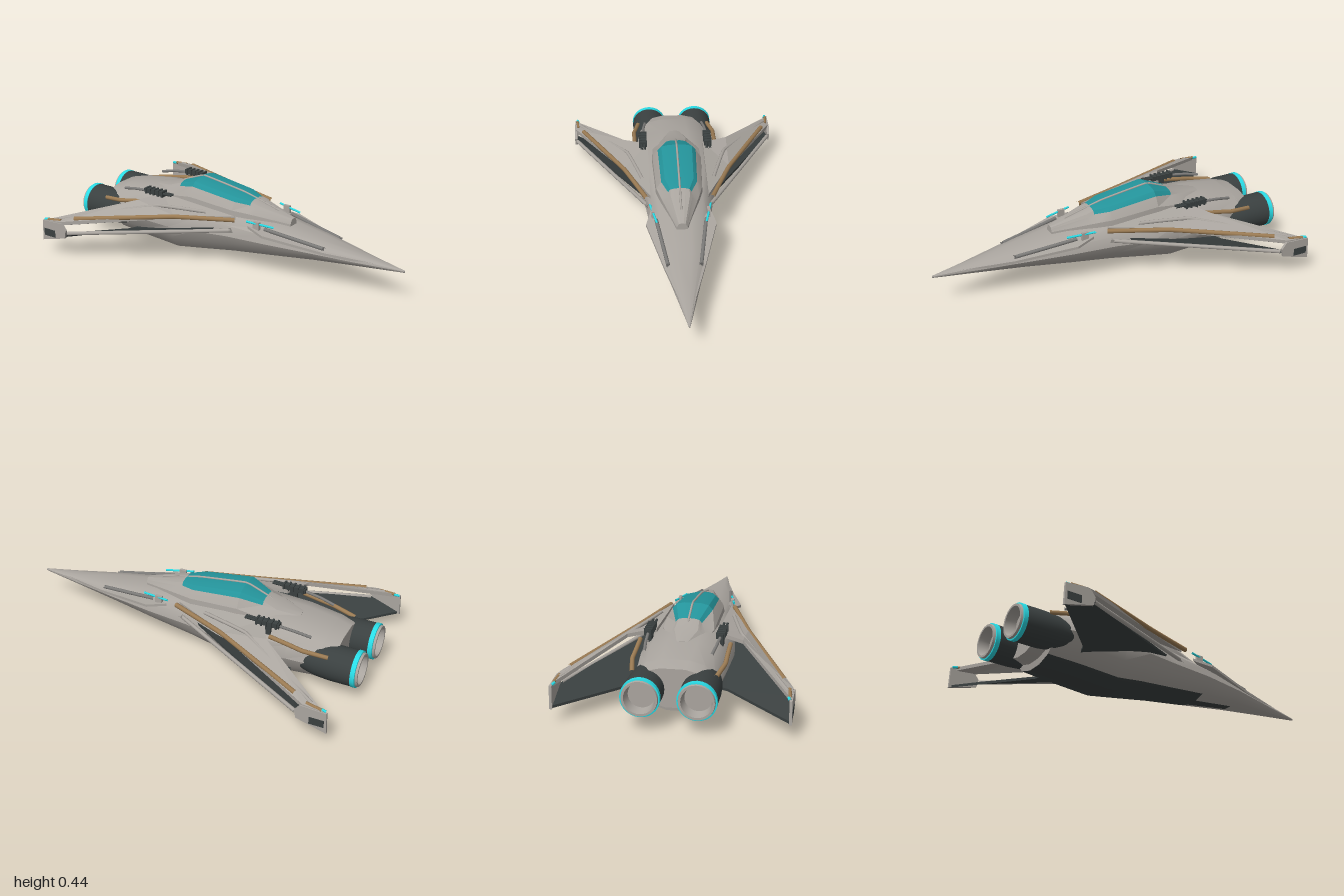
import * as THREE from 'three';
import { toCreasedNormals } from 'three/addons/utils/BufferGeometryUtils.js';

const mat = (name, color) => {
  const m = new THREE.MeshStandardMaterial({ color });
  m.name = name;
  return m;
};
const V = (p) => new THREE.Vector3(...p);

// Skin a list of rings [[x, y, z], ...]; pick(i, j) chooses the material slot of each quad
function loft(rings, pick, crease) {
  const n = rings[0].length, slots = [[], []];
  rings.slice(0, -1).forEach((_, i) => {
    for (let j = 0; j < n; j++) {
      const k = (j + 1) % n, a = i * n + j, b = i * n + k;
      slots[pick(i, j)].push(a, b, a + n, b, b + n, a + n);
    }
  });
  const last = (rings.length - 1) * n;
  for (let j = 1; j < n - 1; j++) slots[0].push(0, j + 1, j, last, last + j, last + j + 1);
  const g = new THREE.BufferGeometry();
  g.setAttribute('position', new THREE.Float32BufferAttribute(rings.flat(2), 3));
  g.setIndex(slots.flat());
  g.addGroup(0, slots[0].length, 0);
  g.addGroup(slots[0].length, slots[1].length, 1);
  return toCreasedNormals(g, crease);
}

// Symmetric ring from half-profile points [z, y] at station x
const ring = (x, half) => [
  ...half.map(([z, y]) => [x, y, z]),
  ...half.slice().reverse().map(([z, y]) => [x, y, -z]),
];

// Plate with outline points in space, thickened vertically
function slab(outline, t) {
  const isClockwise = THREE.ShapeUtils.isClockWise(outline.map(([x, , z]) => new THREE.Vector2(x, -z)));
  const points = isClockwise ? outline.slice().reverse() : outline;
  const flat = points.map(([x, , z]) => new THREE.Vector2(x, -z));
  const up = points.map(([x, y, z]) => [x, y + t / 2, z]);
  const dn = points.map(([x, y, z]) => [x, y - t / 2, z]);
  const out = [];
  for (const [a, b, c] of THREE.ShapeUtils.triangulateShape(flat, [])) {
    out.push(up[a], up[b], up[c], dn[a], dn[c], dn[b]);
  }
  points.forEach((_, i) => {
    const k = (i + 1) % points.length;
    out.push(dn[i], dn[k], up[k], dn[i], up[k], up[i]);
  });
  const g = new THREE.BufferGeometry();
  g.setAttribute('position', new THREE.Float32BufferAttribute(out.flat(), 3));
  g.computeVertexNormals();
  return g;
}

// Round rod through nearly straight waypoints
const rod = (points, r) =>
  new THREE.TubeGeometry(new THREE.CatmullRomCurve3(points.map(V), false, 'catmullrom', 0.1), 24, r, 8);

const box = (x0, x1, y0, y1, z0, z1) =>
  new THREE.BoxGeometry(x1 - x0, y1 - y0, z1 - z0).translate((x0 + x1) / 2, (y0 + y1) / 2, (z0 + z1) / 2);

// Turned part on the engine axis; profile is [radius, distance aft]
const turned = (profile) => toCreasedNormals(
  new THREE.LatheGeometry(profile.map((p) => new THREE.Vector2(...p)), 28), 0.6,
).rotateZ(Math.PI / 2).translate(0, 0.175, 0.14);

// Copy a geometry to the other side of z = 0 and restore its winding
function mirrored(geo) {
  const g = geo.index ? geo.toNonIndexed() : geo.clone();
  g.scale(1, 1, -1);
  const idx = [];
  for (let i = 0; i < g.attributes.position.count; i += 3) idx.push(i, i + 2, i + 1);
  return g.setIndex(idx);
}

export function createModel() {
  const hull = mat('hullGrey', 0xaaa59f), dark = mat('darkPanel', 0x3a4040);
  const glass = mat('canopyTeal', 0x24949b), glow = mat('glowCyan', 0x2adce6);
  const brass = mat('brassPipe', 0x9c7c54), steel = mat('steelGrey', 0x7c7b79);
  const model = new THREE.Group();
  const add = (name, geo, material) => {
    const m = new THREE.Mesh(geo, material);
    m.name = name;
    model.add(m);
  };
  // The nose points to +x, so the port side is -z and the starboard side +z
  const pair = (name, geo, material) => {
    add(name + 'Starboard', geo, material);
    add(name + 'Port', mirrored(geo), material);
  };

  // Fuselage: x, half width, bottom, top
  const outline = [[0.22, 0], [0.62, 0.1], [0.88, 0.32], [1, 0.53], [0.93, 0.76], [0.7, 0.92], [0.34, 1]];
  const stations = [
    [1, 0.004, 0.172, 0.184], [0.75, 0.06, 0.152, 0.214], [0.5, 0.115, 0.13, 0.25],
    [0.24, 0.16, 0.095, 0.287], [0, 0.185, 0.06, 0.315], [-0.2, 0.22, 0.028, 0.332],
    [-0.36, 0.235, 0, 0.342], [-0.6, 0.23, 0.017, 0.33], [-0.78, 0.212, 0.03, 0.305],
    [-0.785, 0.205, 0.065, 0.304], [-0.86, 0.18, 0.08, 0.285],
  ];
  const bodyRings = stations.map(([x, w, lo, hi]) => ring(x, outline.map(([z, y]) => [z * w, lo + y * (hi - lo)])));
  const belly = (i, j) => (i < 8 && ((i > 1 && j === 13) || (i > 2 && (j === 0 || j === 12))) ? 1 : 0);
  add('fuselage', loft(bodyRings, belly, 0.6), [hull, dark]);

  // Canopy housing with glazed top: x, half width, base, top, glass width fraction
  const cabin = [
    [0.32, 0.03, 0.27, 0.313, 0.75], [0.12, 0.095, 0.28, 0.365, 0.7], [0.08, 0.108, 0.28, 0.378, 0.6],
    [0.0, 0.13, 0.28, 0.395, 0.76], [-0.28, 0.142, 0.29, 0.433, 0.76], [-0.4, 0.138, 0.29, 0.388, 0.5],
    [-0.48, 0.11, 0.29, 0.358, 0.7], [-0.6, 0.05, 0.29, 0.332, 0.7],
  ];
  const cabinRings = cabin.map(([x, w, lo, hi, g]) => {
    const h = hi - lo;
    return ring(x, [[w, lo], [w * 0.97, lo + 0.4 * h], [w * g, lo + 0.76 * h], [w * g * 0.8, lo + 0.93 * h], [w * g * 0.4, hi]]);
  });
  const glazed = (i, j) => (i >= 2 && i < 5 && j >= 2 && j <= 6 ? 1 : 0);
  add('canopy', loft(cabinRings, glazed, 0.3), [hull, glass]);
  add('canopySpine', rod([[0.23, 0.338, 0], [0, 0.396, 0], [-0.28, 0.434, 0], [-0.43, 0.375, 0]], 0.006), hull);

  // Nose side plates and glowing sensors
  pair('nosePlate', slab([[0.95, 0.182, 0.005], [0.57, 0.205, 0.105], [0.24, 0.25, 0.19], [0.13, 0.27, 0.16], [0.3, 0.25, 0.08]], 0.014), hull);
  pair('noseRidge', rod([[0.57, 0.225, 0.085], [0.22, 0.272, 0.135]], 0.01), steel);
  pair('sensor', rod([[0.12, 0.305, 0.166], [0.28, 0.292, 0.132]], 0.006), glow);
  pair('sensorMount', box(0.16, 0.2, 0.265, 0.31, 0.142, 0.158), hull);

  // Upper wings, with brass leading rods and a rib
  pair('upperWing', slab([
    [0.05, 0.303, 0.16], [-0.27, 0.283, 0.298], [-0.8, 0.212, 0.572], [-0.84, 0.205, 0.59],
    [-0.95, 0.195, 0.59], [-0.52, 0.318, 0.3], [-0.45, 0.33, 0.16],
  ], 0.02), hull);
  pair('wingRod', rod([[0.06, 0.302, 0.18], [-0.27, 0.285, 0.3], [-0.78, 0.232, 0.54]], 0.013), brass);
  pair('wingRib', rod([[-0.12, 0.315, 0.2], [-0.4, 0.315, 0.28], [-0.88, 0.217, 0.565]], 0.01), hull);
  pair('wingTipRod', rod([[-0.85, 0.216, 0.572], [-0.94, 0.206, 0.582]], 0.009), brass);
  pair('wingTipLight', rod([[-0.935, 0.207, 0.575], [-0.965, 0.203, 0.582]], 0.007), glow);

  // Lower wings, swept down toward the trailing edge
  pair('lowerWing', slab([
    [0.0, 0.232, 0.15], [-0.8, 0.15, 0.58], [-0.97, 0.088, 0.592], [-0.64, 0.1, 0.24], [-0.6, 0.1, 0.14],
  ], 0.014), dark);
  pair('lowerWingEdge', rod([[0.05, 0.235, 0.165], [-0.8, 0.153, 0.58]], 0.011), hull);

  // Wing tip plates joining both wings
  const tip = new THREE.Shape([[-0.975, 0.08], [-0.81, 0.125], [-0.8, 0.17], [-0.83, 0.208], [-0.97, 0.2]].map((p) => new THREE.Vector2(...p)));
  pair('wingTip', new THREE.ExtrudeGeometry(tip, { depth: 0.014, bevelEnabled: false }).translate(0, 0, 0.582), hull);
  pair('wingTipPanel', box(-0.96, -0.88, 0.113, 0.155, 0.594, 0.598), dark);

  // Guns on the shoulders
  pair('gunBody', box(-0.55, -0.42, 0.337, 0.363, 0.17, 0.205), dark);
  pair('gunPost', box(-0.5, -0.45, 0.28, 0.34, 0.178, 0.196), dark);
  for (const z of [0.179, 0.197]) {
    pair('gunBarrel', rod([[-0.43, 0.352, z], [-0.355, 0.354, z]], 0.007), dark);
  }
  for (let i = 0; i < 5; i++) {
    const x = -0.54 + i * 0.028;
    pair('gunFin', box(x, x + 0.01, 0.333, 0.368, 0.165, 0.21), dark);
  }
  pair('gunFeed', rod([[-0.72, 0.315, 0.17], [-0.64, 0.332, 0.18], [-0.54, 0.345, 0.187]], 0.008), steel);

  // Engines
  pair('engineShell', turned([[0.07, 0.66], [0.092, 0.76], [0.098, 0.84], [0.098, 0.962]]), dark);
  pair('engineRing', turned([[0.09, 0.96], [0.1, 0.962], [0.1, 0.986], [0.09, 0.988]]), glow);
  pair('engineNozzle', turned([[0.094, 0.98], [0.09, 1], [0.078, 1], [0.068, 0.94], [0, 0.94]]), hull);
  pair('enginePipe', rod([[-0.83, 0.245, 0.21], [-0.7, 0.265, 0.236], [-0.62, 0.28, 0.235], [-0.51, 0.3, 0.235]], 0.012), brass);

  return model;
}
